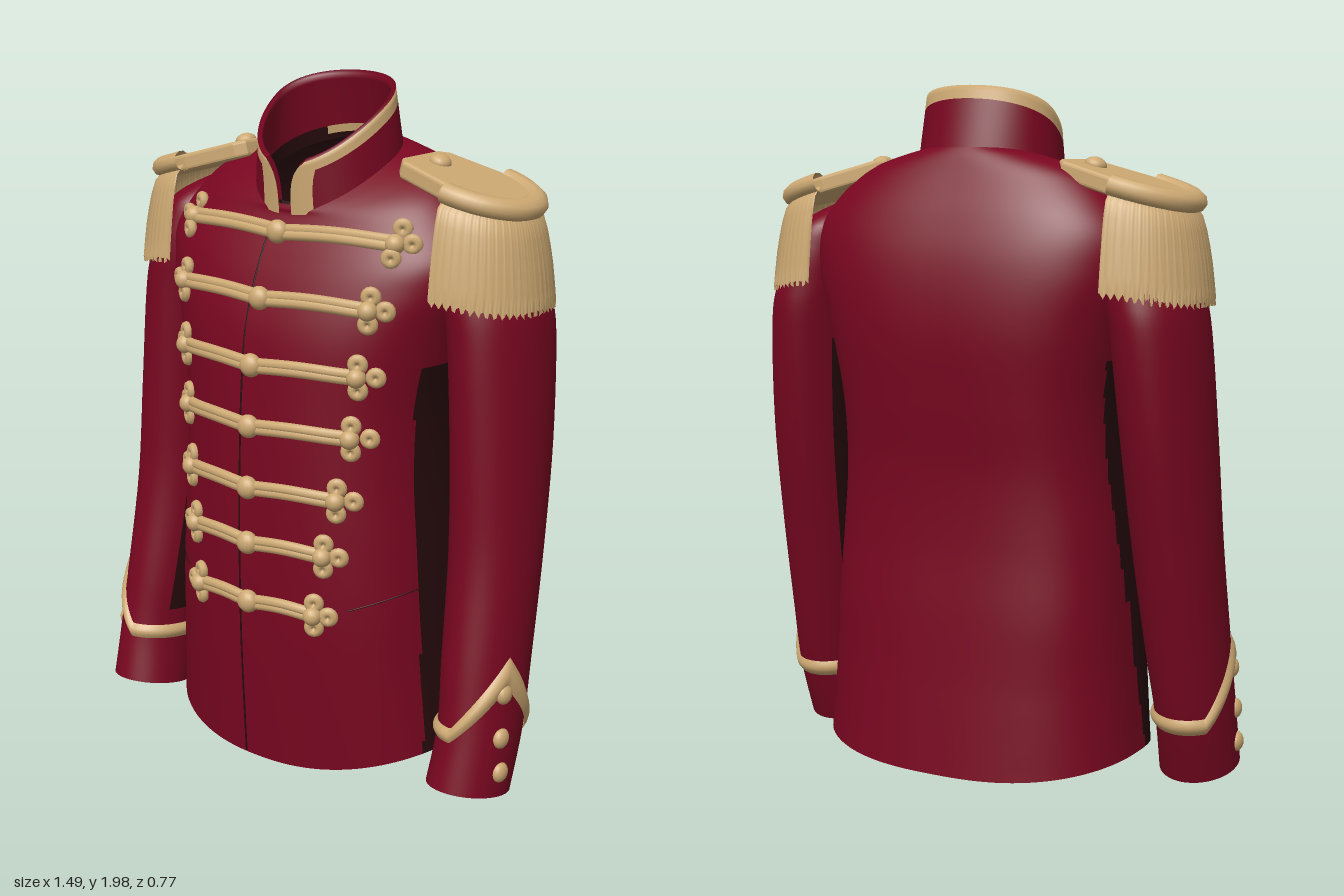
import * as THREE from 'three';

const mat = (name, color) => new THREE.MeshStandardMaterial({ name, color, side: THREE.DoubleSide });

// Smoothly sample a table of rows at fractional row index t
function at(rows, t) {
  const i = Math.min(Math.floor(t), rows.length - 2), f = t - i;
  const p = k => rows[Math.max(0, Math.min(rows.length - 1, k))];
  return rows[0].map((_, c) => {
    const a = p(i - 1)[c], b = p(i)[c], d = p(i + 1)[c], e = p(i + 2)[c];
    return b + 0.5 * f * (d - a + f * (2 * a - 5 * b + 4 * d - e + f * (3 * (b - d) + e - a)));
  });
}

// Row index whose value f(t) reaches y
function solve(f, y, max) {
  let lo = 0, hi = max;
  for (let i = 0; i < 30; i++) {
    const m = (lo + hi) / 2;
    if (f(m) < y) lo = m; else hi = m;
  }
  return lo;
}

// Grid surface from fn(i, j); pick(i, j, point) chooses the material of a cell
function surface(name, fn, nu, nv, mats, { closed = false, flip = false, pick = () => 0 } = {}) {
  const w = closed ? nu : nu + 1, pos = [], cells = mats.map(() => []);
  for (let j = 0; j <= nv; j++) for (let i = 0; i < w; i++) pos.push(...fn(i, j));
  for (let j = 0; j < nv; j++) for (let i = 0; i < nu; i++) {
    const a = j * w + i, b = j * w + (i + 1) % w, c = b + w, d = a + w;
    cells[pick(i, j, pos.slice(a * 3, a * 3 + 3))].push(...(flip ? [a, c, b, a, d, c] : [a, b, c, a, c, d]));
  }
  const g = new THREE.BufferGeometry();
  g.setAttribute('position', new THREE.Float32BufferAttribute(pos, 3));
  g.setIndex(cells.flat());
  let start = 0;
  cells.forEach((c, k) => { g.addGroup(start, c.length, k); start += c.length; });
  g.computeVertexNormals();
  const m = new THREE.Mesh(g, mats.length > 1 ? mats : mats[0]);
  m.name = name;
  return m;
}

// Torso rings: height, half width, front z, back z, backward rise, squareness
const TORSO = [
  [0.005, 0.49, 0.33, -0.38, 0, 2.25], [0.3, 0.47, 0.345, -0.355, 0, 2.3], [0.5, 0.455, 0.35, -0.34, 0, 2.4],
  [0.7, 0.44, 0.35, -0.325, 0, 2.4], [0.9, 0.425, 0.345, -0.325, 0, 2.4], [1.1, 0.43, 0.335, -0.345, 0, 2.4],
  [1.3, 0.47, 0.315, -0.36, 0.03, 2.4], [1.45, 0.515, 0.275, -0.345, 0.1, 2.4], [1.56, 0.515, 0.235, -0.305, 0.2, 2.4],
  [1.66, 0.42, 0.185, -0.25, 0.3, 2.3], [1.7, 0.3, 0.18, -0.225, 0.4, 2.1], [1.72, 0.212, 0.175, -0.21, 0.45, 2],
];
const COLLAR = [[1.70, 0.22, 0.188, -0.215, 0.45, 2], [1.88, 0.2, 0.2, -0.17, 0.62, 2]];
// Sleeve rings: height, centre x, radius x, centre z, radius z, forward rise
const SLEEVE = [
  [0.03, 0.615, 0.115, 0.13, 0.13, 0.2], [0.2, 0.62, 0.112, 0.08, 0.142, 0.1], [0.4, 0.61, 0.118, 0.04, 0.15, 0],
  [0.7, 0.597, 0.124, -0.015, 0.157, 0], [1.0, 0.583, 0.127, -0.05, 0.18, 0], [1.3, 0.562, 0.128, -0.07, 0.195, 0],
  [1.42, 0.54, 0.127, -0.07, 0.19, 0], [1.52, 0.515, 0.115, -0.07, 0.175, 0], [1.6, 0.49, 0.09, -0.07, 0.14, 0],
  [1.66, 0.46, 0.01, -0.07, 0.02, 0],
];

// Point on a body ring; angle 0 is the front, d pushes outward; the back is squarer
function ring([y, hw, zf, zb, k, n], a, d = 0) {
  const s = Math.sin(a), c = Math.cos(a), e = 2 / (c > 0 ? n : n + 1.25 * (n - 2)), zc = -0.02;
  const x = (hw + d) * Math.sign(s) * Math.abs(s) ** e;
  const z = zc + (c > 0 ? zf + d - zc : zb - d - zc) * Math.abs(c) ** e;
  return [x, y - k * z, z];
}

// Body point with the hem rising at the sides and the shoulders lifted
function torsoPoint(t, a, d) {
  const p = ring(at(TORSO, t), a, d), c = Math.cos(a), side = Math.sin(a) ** 2;
  p[1] += Math.max(0, 1 - t) * (0.08 * side + (c < 0 ? 0.035 * c * c : 0));
  p[1] += 0.035 * side * THREE.MathUtils.smoothstep(t, 8, 10);
  return p;
}

// Point on the jacket front above (x, y)
function front(x, y, d = 0) {
  const zAt = t => {
    const [, hw, zf, , , n] = at(TORSO, t);
    return -0.02 + (zf + 0.02) * Math.max(0, 1 - Math.abs(x / hw) ** n) ** (1 / n);
  };
  const t = solve(q => { const r = at(TORSO, q); return r[0] - r[4] * zAt(q); }, y, TORSO.length - 1);
  return new THREE.Vector3(x, y, zAt(t) + d);
}

function sleevePoint(t, a, s, d = 0) {
  const [y, cx, rx, cz, rz, k] = at(SLEEVE, t);
  const dz = (rz + d) * Math.cos(a);
  return [s * (cx + (rx + d) * Math.sin(a)), y + k * dz, cz + dz];
}

export function createModel() {
  const red = mat('crimson cloth', 0x780620), gold = mat('gold braid', 0xcda973), dark = mat('dark lining', 0x260a0c);
  const model = new THREE.Group();
  model.name = 'paradeJacket';
  const TAU = Math.PI * 2, N = 96;

  const add = (parent, name, geo, m, p) => {
    const mesh = new THREE.Mesh(geo, m);
    mesh.name = name;
    if (p) mesh.position.set(...p);
    parent.add(mesh);
    return mesh;
  };
  const tube = (parent, name, pts, r, m) =>
    add(parent, name, new THREE.TubeGeometry(new THREE.CatmullRomCurve3(pts), 20, r, 8), m);
  const ball = (parent, name, r, p, sx = 1, sy = 1, sz = 1) =>
    add(parent, name, new THREE.SphereGeometry(r, 16, 12), gold, p).scale.set(sx, sy, sz);

  // Body with dark panels under the arms, and its lining
  const rows = 88, B = 192, tt = j => j / rows * (TORSO.length - 1);
  model.add(surface('body', (i, j) => torsoPoint(tt(j), i / B * TAU, 0), B, rows, [red, dark], {
    closed: true,
    pick: (i, j, [x, y, z]) => (y < 1.22 && Math.abs(x) > 0.3 && z < 0.13 && z > 0.03 - 0.16 * y ? 1 : 0),
  }));
  model.add(surface('bodyLining', (i, j) => torsoPoint(tt(j), i / N * TAU, -0.012), N, rows, [dark], { closed: true, flip: true }));

  // Standing collar: outer face with gold edging, rim, and inner face with a gold neck tape
  model.add(surface('collar', (i, j) => {
    const h = j < 9 ? j / 8 : (17 - j) / 8, a0 = 0.1 + 0.25 * h ** 4, a = a0 + i / N * (TAU - 2 * a0);
    const p = ring(at(COLLAR, h), a, j < 9 ? 0 : -0.014);
    p[1] += 0.025 * h * Math.sin(a) ** 2;
    return p;
  }, N, 17, [red, gold, dark], {
    pick: (i, j) => {
      if (j < 8) return j >= 6 || i < 5 || i >= N - 5 ? 1 : 0;
      if (j === 15 && Math.abs(i - N / 2) < 10) return 1;
      return j > 14 ? 2 : 0;
    },
  }));

  // Front opening and waist seams
  const line = (n, f) => Array.from({ length: n }, (_, i) => f(i / (n - 1)));
  tube(model, 'frontSeam', line(16, f => front(-0.045, 0.01 + 1.58 * f)), 0.003, dark);
  for (const s of [-1, 1])
    tube(model, 'waistSeam', line(8, f => front(s * (0.3 + 0.13 * f), 0.53 + 0.05 * f)), 0.002, dark);

  // Seven rows of cord with clover ends and a centre button
  const frogs = [[1.57, 0.43], [1.395, 0.4], [1.21, 0.38], [1.035, 0.365], [0.855, 0.335], [0.69, 0.305], [0.51, 0.28]];
  for (const [y, end] of frogs) {
    const row = new THREE.Group();
    row.name = 'frogFastening';
    model.add(row);
    ball(row, 'frontButton', 0.034, front(-0.005, y, 0.012).toArray(), 1, 1, 0.8);
    for (const s of [-1, 1]) {
      for (const o of [-0.008, 0.008])
        tube(row, 'cord', line(8, f => front(s * (0.02 + (end - 0.1) * f), y + o + 0.008 * Math.sin(f * 3.1), 0.005)), 0.015, gold);
      const k = end - 0.068;
      ball(row, 'knot', 0.028, front(s * k, y, 0.012).toArray());
      for (const [dx, dy] of [[0, 0.037], [0, -0.037], [0.04, 0]]) {
        const loop = add(row, 'cloverLoop', new THREE.TorusGeometry(0.015, 0.0145, 8, 16), gold,
          front(s * (k + dx), y + dy, 0.005).toArray());
        loop.lookAt(loop.position.clone().add(new THREE.Vector3(s * 0.5, 0, 1)));
      }
    }
  }

  for (const s of [-1, 1]) {
    const side = s > 0 ? 'left' : 'right', last = SLEEVE.length - 1;
    // Sleeve and its lining
    const sleeve = new THREE.Group();
    sleeve.name = side + 'Sleeve';
    model.add(sleeve);
    sleeve.add(surface('sleeveShell', (i, j) => sleevePoint(j / 45 * last, i / 64 * TAU, s), 64, 45, [red, dark], {
      closed: true, flip: s < 0,
      pick: (i, j, p) => (Math.sin((i + 0.5) / 64 * TAU) < -0.82 && p[1] > 0.25 && p[1] < 1.2 ? 1 : 0),
    }));
    sleeve.add(surface('sleeveLining', (i, j) => sleevePoint(j / 20 * 5, i / 64 * TAU, s, -0.01), 64, 20, [dark], { closed: true, flip: s > 0 }));

    // Cuff braid, rising to a point on the outside
    const heightT = y => solve(t => at(SLEEVE, t)[0], y, last);
    const peak = Math.PI / 2 - 0.4;
    sleeve.add(surface('cuffBraid', (i, j) => {
      const a = i / N * TAU;
      const tent = Math.max(0, 1 - Math.abs(Math.atan2(Math.sin(a - peak), Math.cos(a - peak))) / 1.25);
      const y = 0.178 + 0.17 * tent ** 1.1 + (j / 6) * (0.045 + 0.045 * tent);
      return sleevePoint(heightT(y), a, s, 0.002 + 0.011 * Math.sin(j / 6 * Math.PI));
    }, N, 6, [gold], { closed: true, flip: s < 0 }));
    for (const [y, a] of [[0.1, 1.35], [0.2, 1.2], [0.33, 1.15]])
      ball(sleeve, 'cuffButton', 0.03, sleevePoint(heightT(y), a, s, -0.004), 0.7);

    // Epaulette: board, raised crescent, button and fringe
    const ep = new THREE.Group();
    ep.name = side + 'Epaulette';
    ep.position.set(s * 0.47, 0, -0.06);
    ep.rotation.y = s > 0 ? 0 : Math.PI;
    model.add(ep);
    const top = new THREE.Group();
    top.name = 'epauletteTop';
    top.position.y = 1.705;
    top.rotation.z = -0.27;
    ep.add(top);
    const shape = new THREE.Shape();
    shape.moveTo(-0.19, -0.08).lineTo(-0.17, -0.105).lineTo(0, -0.13);
    shape.absellipse(0, 0, 0.18, 0.13, -Math.PI / 2, Math.PI / 2);
    shape.lineTo(-0.17, 0.105).lineTo(-0.19, 0.08);
    const board = new THREE.ExtrudeGeometry(shape, { depth: 0.03, bevelThickness: 0.01, bevelSize: 0.01, bevelSegments: 3, curveSegments: 24 });
    add(top, 'board', board.rotateX(-Math.PI / 2), gold, [0, -0.015, 0]);
    const rim = new THREE.TorusGeometry(0.15, 0.034, 10, 32, Math.PI).rotateZ(-Math.PI / 2).rotateX(-Math.PI / 2);
    add(top, 'crescent', rim, gold, [0, 0.006, 0]).scale.set(1.14, 0.9, 1);
    ball(top, 'shoulderButton', 0.032, [-0.13, 0.026, 0], 1, 0.7, 1);

    // Corrugated fringe, hanging from under the board and flaring out
    const F = 120;
    ep.add(surface('fringe', (i, j) => {
      const a = Math.PI / 2 + 1.58 - i / F * 3.16, f = j / 6;
      const pleat = (i % 2 ? 0.004 : -0.004) * Math.min(1, f * 1.5);
      const flare = Math.sqrt(f);
      const x = (0.165 + 0.06 * flare + pleat) * Math.sin(a), z = (0.15 + 0.075 * flare + pleat) * Math.cos(a);
      const yTop = 1.70 - 0.27 * x, yEnd = 1.39 + 0.01 * Math.sin(i * 1.7) + 0.03 * Math.abs(Math.cos(a)) ** 4;
      return [x, yTop + (yEnd - yTop) * f ** 1.3, z];
    }, F, 6, [gold]));
  }
  return model;
}
